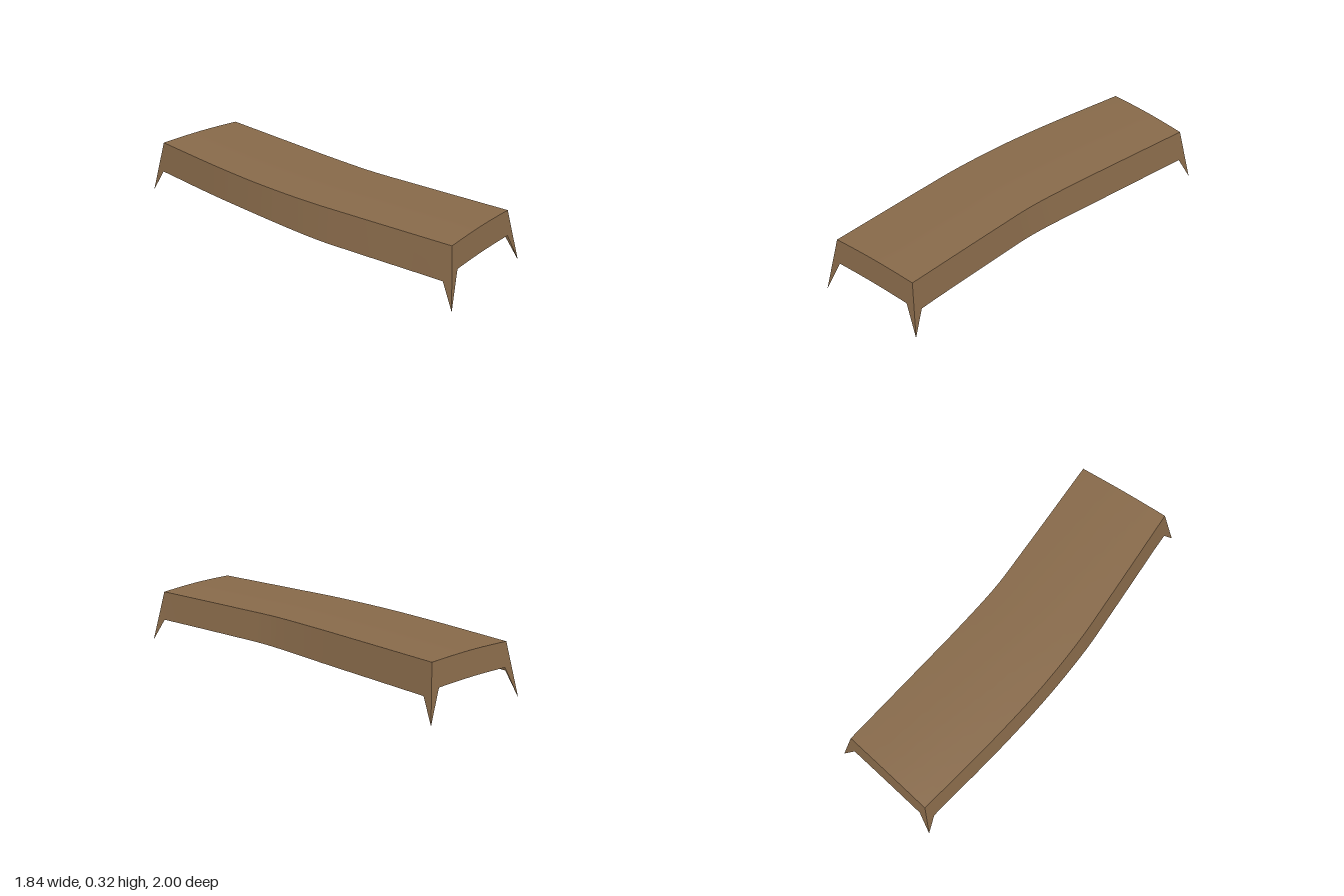
import * as THREE from 'three';

const V = (x, y, z) => new THREE.Vector3(x, y, z);
const TOP = 0.31, FLARE = 0.17, STEPS = 24, LEG = 0.05;

// Surface through rows of points
function surface(name, rows, material) {
  const n = rows[0].length, index = [];
  for (let i = 0; i < rows.length - 1; i++) {
    for (let j = 0; j < n - 1; j++) {
      const a = i * n + j, b = a + n;
      index.push(a, b, a + 1, b, b + 1, a + 1);
    }
  }
  const geometry = new THREE.BufferGeometry().setFromPoints(rows.flat());
  geometry.setIndex(index);
  geometry.computeVertexNormals();
  const mesh = new THREE.Mesh(geometry, material);
  mesh.name = name;
  return mesh;
}

// Smooth plan curve of one long edge of the top
function edge(points) {
  const curve = new THREE.CatmullRomCurve3(points.map(([x, z]) => V(x, TOP, z)), false, 'centripetal');
  return Array.from({ length: STEPS + 1 }, (_, i) => curve.getPoint(i / STEPS));
}

// Point at height y on the slanted corner between top corner and leg tip
const onCorner = (top, tip, y) => top.clone().lerp(tip, (TOP - y) / (TOP - tip.y));

// Lower border of a long skirt, flaring outward
function hem(top, side, y0, y1, tip0, tip1) {
  return top.map((p, i) => {
    const y = THREE.MathUtils.lerp(y0, y1, THREE.MathUtils.smoothstep(i / STEPS, 0.3, 0.75));
    if (i === 0) return onCorner(p, tip0, y);
    if (i === STEPS) return onCorner(p, tip1, y);
    const t = top[i + 1].clone().sub(top[i - 1]).normalize();
    const d = side * FLARE * (TOP - y);
    return V(p.x + t.z * d, y, p.z - t.x * d);
  });
}

export function createModel() {
  const model = new THREE.Group();
  model.name = 'curvedBench';
  const wood = new THREE.MeshStandardMaterial({ color: 0x886a4a, side: THREE.DoubleSide });
  wood.name = 'brown wood';

  const left = edge([[-0.85, -0.62], [-0.555, -0.2], [-0.34, 0.08], [-0.12, 0.33], [0.06, 0.51], [0.485, 0.925]]);
  const right = edge([[-0.425, -0.93], [-0.1, -0.5], [0.06, -0.29], [0.255, -0.05], [0.43, 0.13], [0.85, 0.55]]);

  // Leg tips under the four corners
  const tips = {
    backRight: V(-0.92, 0.02, -0.63), backLeft: V(-0.415, 0.02, -1),
    frontLeft: V(0.92, 0.03, 0.545), frontRight: V(0.48, 0, 1),
  };

  // Slightly cambered top
  const topRows = left.map((l, i) => Array.from({ length: 7 }, (_, j) => {
    const p = l.clone().lerp(right[i], j / 6);
    p.y += 0.007 * Math.sin(Math.PI * j / 6);
    return p;
  }));
  model.add(surface('top', topRows, wood));

  // Long skirts
  const leftHem = hem(left, -1, 0.148, 0.131, tips.backRight, tips.frontRight);
  const rightHem = hem(right, 1, 0.146, 0.155, tips.backLeft, tips.frontLeft);
  model.add(surface('rightSkirt', left.map((p, i) => [leftHem[i], p]), wood));
  model.add(surface('leftSkirt', right.map((p, i) => [p, rightHem[i]]), wood));

  // End skirts
  function endSkirt(name, topEdge, tipA, tipB) {
    const n = topEdge.length - 1;
    const a = onCorner(topEdge[0], tipA, 0.184), b = onCorner(topEdge[n], tipB, 0.184);
    const bottom = topEdge.map((p, j) => {
      const q = a.clone().lerp(b, j / n);
      q.y += p.y - TOP;
      return q;
    });
    model.add(surface(name, topEdge.map((p, j) => [bottom[j], p]), wood));
    return bottom;
  }
  const frontHem = endSkirt('frontSkirt', topRows[STEPS], tips.frontRight, tips.frontLeft);
  const backHem = endSkirt('backSkirt', [...topRows[0]].reverse(), tips.backLeft, tips.backRight);

  // Folded pointed legs: one triangle continuing each adjoining skirt
  function leg(name, tip, sideHem, endHem) {
    const group = new THREE.Group();
    group.name = name;
    for (const [corner, next] of [sideHem, endHem]) {
      const foot = corner.clone().add(next.clone().sub(corner).setLength(LEG));
      const outward = V(0, 0, 0).crossVectors(foot.clone().sub(corner), tip.clone().sub(corner));
      const centre = V(tip.x < 0 ? -0.62 : 0.67, 0.2, tip.z < 0 ? -0.77 : 0.735).multiplyScalar(0.85);
      const facing = outward.dot(corner.clone().sub(centre)) > 0;
      const points = facing ? [corner, foot, tip] : [corner, tip, foot];
      const geometry = new THREE.BufferGeometry().setFromPoints(points);
      geometry.computeVertexNormals();
      group.add(new THREE.Mesh(geometry, wood));
    }
    model.add(group);
  }
  const start = h => [h[0], h[1]];
  const end = h => [h[h.length - 1], h[h.length - 2]];
  leg('backRightLeg', tips.backRight, start(leftHem), end(backHem));
  leg('backLeftLeg', tips.backLeft, start(rightHem), start(backHem));
  leg('frontRightLeg', tips.frontRight, end(leftHem), start(frontHem));
  leg('frontLeftLeg', tips.frontLeft, end(rightHem), end(frontHem));

  return model;
}
